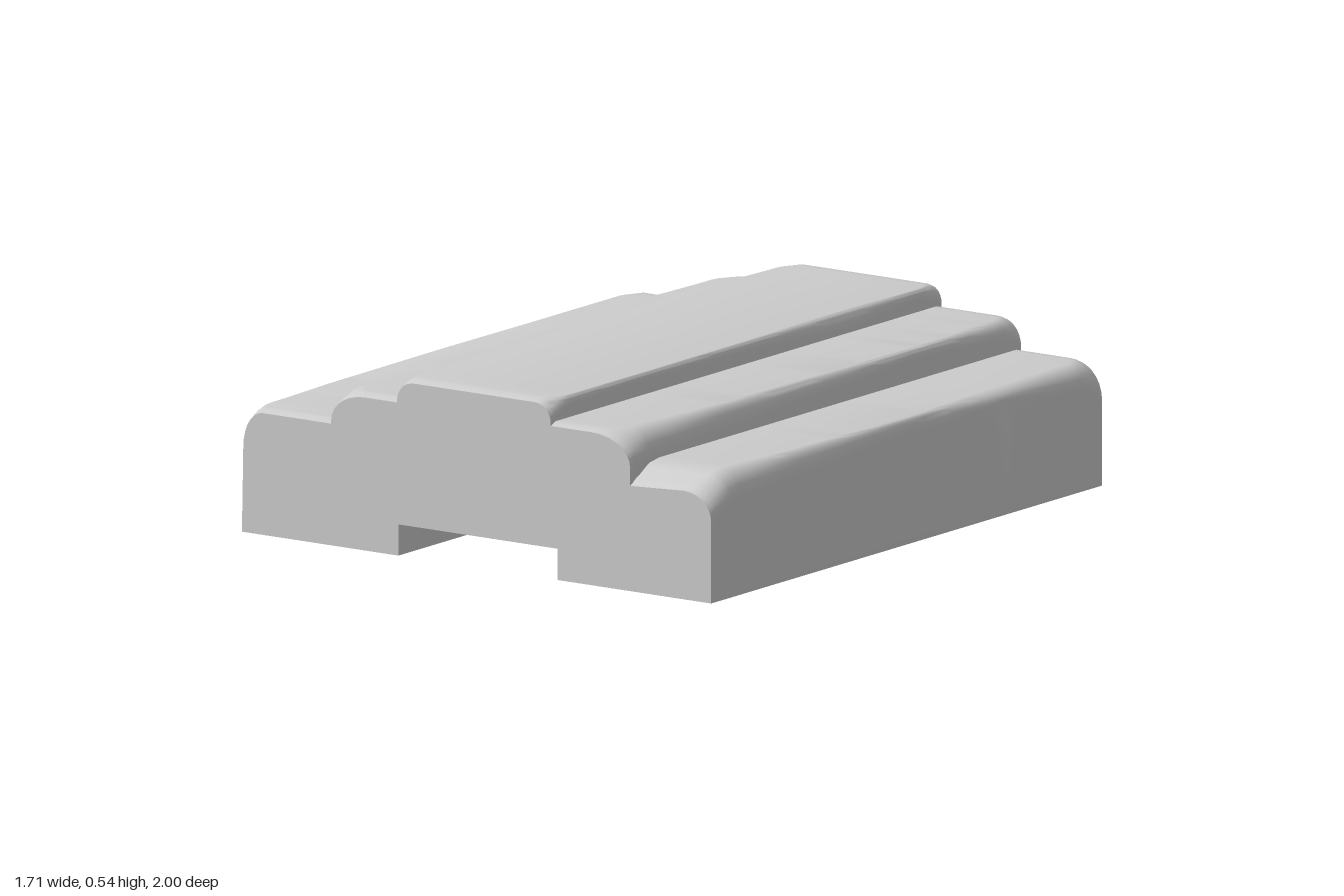
import * as THREE from 'three';
import { toCreasedNormals } from 'three/addons/utils/BufferGeometryUtils.js';

// Stations along the length at which edge wear is given
const KEYS = [-1, -0.9, -0.5, 0, 0.5, 0.9, 1];

// Stepped edges, counter-clockwise from the +x side: corner x, height y,
// side, wear width and wear depth at each station
const EDGES = [
  { x: 0.855, y: 0.38, side: 1, w: [0.1, 0.06, 0.05, 0.02, 0.04, 0.07, 0.1], d: [0.11, 0.07, 0.04, 0.05, 0.07, 0.08, 0.08] },
  { x: 0.56, y: 0.475, side: 1, w: [0.07, 0.04, 0.02, 0.03, 0.04, 0.07, 0.14], d: [0.08, 0.05, 0.03, 0.05, 0.07, 0.08, 0.09] },
  { x: 0.27, y: 0.54, side: 1, w: [0.04, 0.015, 0.025, 0.015, 0.01, 0.015, 0.06], d: [0.05, 0.03, 0.05, 0.03, 0.02, 0.03, 0.055] },
  { x: -0.29, y: 0.54, side: -1, w: [0.09, 0.04, 0.015, 0.01, 0.02, 0.025, 0.06], d: [0.06, 0.05, 0.02, 0.02, 0.04, 0.05, 0.06] },
  { x: -0.53, y: 0.475, side: -1, w: [0.11, 0.05, 0.035, 0.045, 0.035, 0.06, 0.12], d: [0.08, 0.06, 0.04, 0.05, 0.04, 0.06, 0.085] },
  { x: -0.85, y: 0.38, side: -1, w: [0.06, 0.02, 0.02, 0.015, 0.02, 0.035, 0.07], d: [0.09, 0.04, 0.03, 0.03, 0.04, 0.06, 0.11] },
];

// Smooth interpolation of a station list
function wearAt(values, z) {
  let k = 0;
  while (k < KEYS.length - 2 && z > KEYS[k + 1]) k++;
  const t = THREE.MathUtils.smoothstep(z, KEYS[k], KEYS[k + 1]);
  return THREE.MathUtils.lerp(values[k], values[k + 1], t);
}

// Cross-section of the block at one z
function section(z) {
  const drop = 0.01 * THREE.MathUtils.smoothstep(Math.abs(z), 0.975, 1);
  const dip = 0.05 * THREE.MathUtils.smoothstep(z, 0.87, 1);
  const pts = [];
  const add = (x, y) => pts.push(new THREE.Vector2(x, y));

  // underside with its channel
  add(-0.855, 0);
  add(-0.285, 0);
  add(-0.285, 0.095);
  add(0.295, 0.095);
  add(0.295, 0);
  add(0.855, 0);

  // worn terraces
  EDGES.forEach((e, i) => {
    const w = wearAt(e.w, z), d = wearAt(e.d, z);
    const top = e.y - drop - (i === 0 ? dip * 0.8 : 0);
    if (i === 1 || i === 2) add(e.x, EDGES[i - 1].y - drop - (i === 1 ? dip : 0));
    const n = 7;
    for (let k = 0; k <= n; k++) {
      const a = (e.side > 0 ? k / n : 1 - k / n) * Math.PI / 2;
      add(e.x - e.side * w * (1 - Math.cos(a)), top - d * (1 - Math.sin(a)));
    }
    if (i === 3 || i === 4) add(e.x, EDGES[i + 1].y - drop);
  });
  return pts;
}

function wornBlockGeometry() {
  const zs = [-1, -0.99, -0.975, -0.95, -0.92];
  for (let i = 0; i <= 36; i++) zs.push(-0.9 + i * 0.05);
  zs.push(0.92, 0.95, 0.975, 0.99, 1);

  const rings = zs.map(section);
  const n = rings[0].length;
  const positions = [], index = [];
  rings.forEach((ring, j) => ring.forEach((p) => positions.push(p.x, p.y, zs[j])));

  // skin between neighbouring sections
  for (let j = 0; j < zs.length - 1; j++) {
    for (let i = 0; i < n; i++) {
      const a = j * n + i, b = j * n + (i + 1) % n;
      index.push(a, b, b + n, a, b + n, a + n);
    }
  }

  // end faces
  const last = (zs.length - 1) * n;
  for (const [a, b, c] of THREE.ShapeUtils.triangulateShape(rings[0], [])) index.push(a, c, b);
  for (const [a, b, c] of THREE.ShapeUtils.triangulateShape(rings[zs.length - 1], [])) {
    index.push(last + a, last + b, last + c);
  }

  const geometry = new THREE.BufferGeometry();
  geometry.setAttribute('position', new THREE.Float32BufferAttribute(positions, 3));
  geometry.setIndex(index);
  return toCreasedNormals(geometry, THREE.MathUtils.degToRad(35));
}

export function createModel() {
  const group = new THREE.Group();
  group.name = 'steppedStone';
  const block = new THREE.Mesh(
    wornBlockGeometry(),
    new THREE.MeshStandardMaterial({ color: 0xcccccc })
  );
  block.name = 'wornSteppedBlock';
  group.add(block);
  return group;
}
